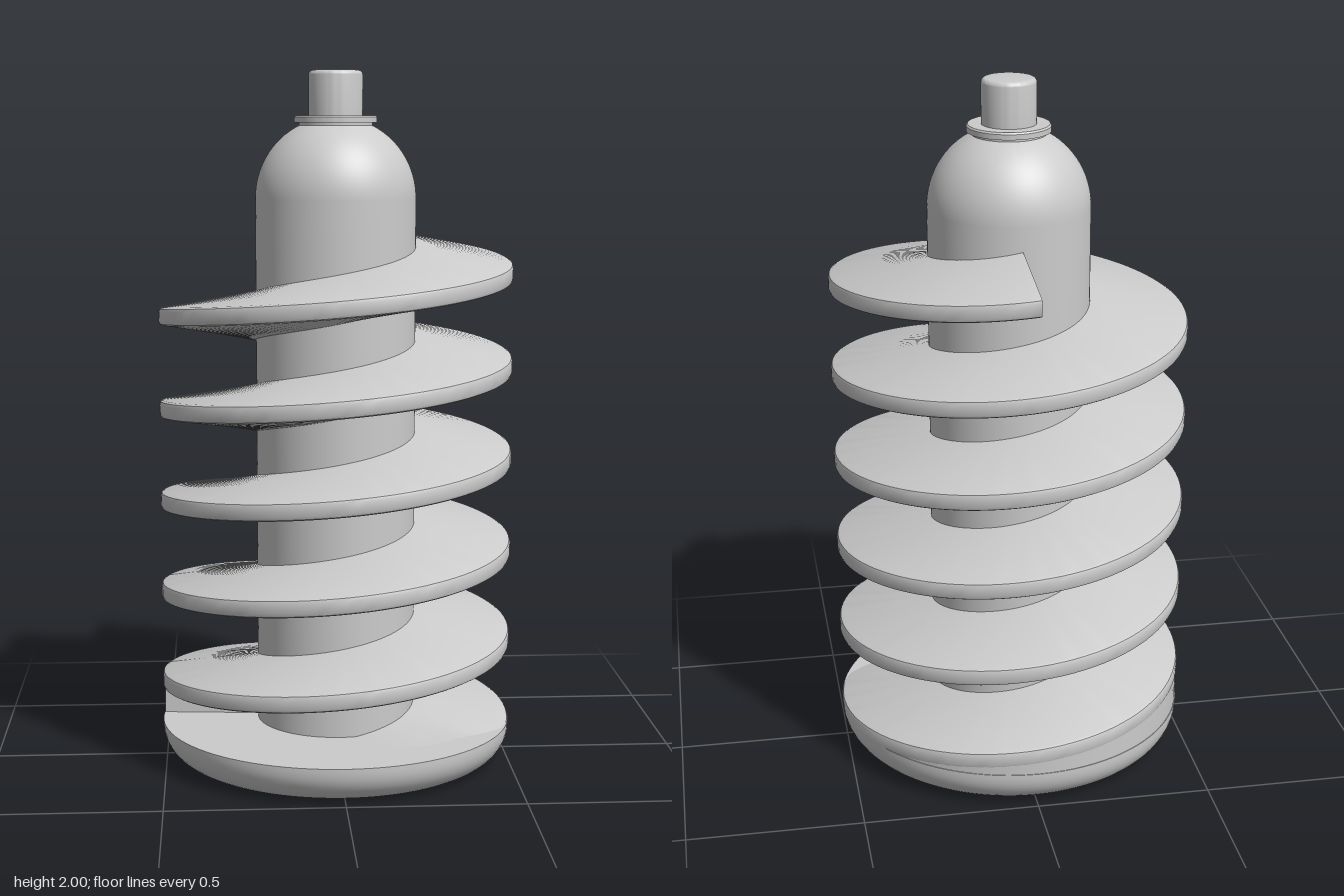
import * as THREE from 'three';
import { toCreasedNormals } from 'three/addons/utils/BufferGeometryUtils.js';

const PITCH = 0.267;
const centreY = a => 0.034 + PITCH * a / (2 * Math.PI);

// Sweep a counter-clockwise (radius, height) profile around the y axis, with end caps.
function sweep(profileAt, a0, a1, steps) {
  const pos = [], idx = [];
  const n = profileAt(a0).length;
  for (let i = 0; i <= steps; i++) {
    const a = a0 + (a1 - a0) * i / steps;
    for (const [r, y] of profileAt(a)) pos.push(r * Math.sin(a), y, r * Math.cos(a));
  }
  for (let i = 0; i < steps; i++) {
    for (let j = 0; j < n; j++) {
      const k = (j + 1) % n;
      const a = i * n + j, b = a + n, c = (i + 1) * n + k, d = i * n + k;
      idx.push(a, b, c, a, c, d);
    }
  }
  const last = steps * n;
  for (let j = 1; j < n - 1; j++) {
    idx.push(0, j, j + 1);
    idx.push(last, last + j + 1, last + j);
  }
  const g = new THREE.BufferGeometry();
  g.setAttribute('position', new THREE.Float32BufferAttribute(pos, 3));
  g.setIndex(idx);
  return toCreasedNormals(g, 0.6);
}

function lathe(points, segments = 96) {
  const g = new THREE.LatheGeometry(points.map(p => new THREE.Vector2(p[0], p[1])), segments);
  return toCreasedNormals(g, 0.6);
}

// Points on an elliptical arc, for lathe profiles
function arc(cx, cy, r, from, to, n) {
  return Array.from({ length: n + 1 }, (_, i) => {
    const t = from + (to - from) * i / n;
    return [cx + r * Math.cos(t), cy + r * Math.sin(t)];
  });
}

export function createModel() {
  const group = new THREE.Group();
  const material = new THREE.MeshStandardMaterial({ color: 0xcccccc });
  const add = (name, geometry) => {
    const mesh = new THREE.Mesh(geometry, material);
    mesh.name = name;
    group.add(mesh);
    return mesh;
  };

  // Base disc with a rounded lower edge and a round recess underneath
  add('base', lathe([
    [0.235, 0.1], [0.235, 0],
    ...arc(0.41, 0.1, 0.1, -Math.PI / 2, 0, 10),
    [0.51, 0.112], [0.2, 0.112],
  ]));

  // Recess ceiling with four blind holes
  const plate = new THREE.Shape().absarc(0, 0, 0.237, 0, Math.PI * 2);
  for (let i = 0; i < 4; i++) {
    const t = i * Math.PI / 2;
    plate.holes.push(new THREE.Path().absarc(0.158 * Math.cos(t), 0.158 * Math.sin(t), 0.024, 0, Math.PI * 2, true));
  }
  const plateGeo = new THREE.ExtrudeGeometry(plate, { depth: 0.012, bevelEnabled: false, curveSegments: 32 });
  plateGeo.rotateX(-Math.PI / 2);
  add('recessCeiling', plateGeo).position.y = 0.098;
  const pocketGeo = new THREE.CylinderGeometry(0.024, 0.024, 0.12, 20, 1, true);
  const pocketMaterial = new THREE.MeshStandardMaterial({ color: 0xcccccc, side: THREE.DoubleSide });
  for (let i = 0; i < 4; i++) {
    const t = i * Math.PI / 2;
    const pocket = add('blindHole', pocketGeo);
    pocket.material = pocketMaterial;
    pocket.position.set(0.158 * Math.cos(t), 0.17, 0.158 * Math.sin(t));
  }
  const pocketEnd = new THREE.CircleGeometry(0.22, 48);
  pocketEnd.rotateX(Math.PI / 2);
  add('holeEnds', pocketEnd).position.y = 0.23;

  // Central shaft with a domed top
  add('shaft', lathe([
    [0.23, 0.1], [0.23, 1.64],
    ...arc(0, 1.64, 0.23, 0.06, Math.PI / 2, 20),
  ]));

  // Collar and drive pin
  add('collar', lathe([
    [0, 1.845], [0.105, 1.845], [0.105, 1.853], [0.118, 1.853],
    [0.118, 1.868], [0.114, 1.873], [0, 1.873],
  ]));
  add('drivePin', lathe([
    [0.077, 1.86], ...arc(0.064, 1.987, 0.013, 0, Math.PI / 2, 5), [0, 2],
  ], 64));

  // Helical flight: thick at the shaft, thin with softened corners at the rim
  const section = [
    [0.22, -0.07], [0.5, -0.026], [0.507, -0.022], [0.51, -0.014],
    [0.51, 0.014], [0.507, 0.022], [0.5, 0.026], [0.22, 0.07],
  ];
  add('flight', sweep(
    a => section.map(([r, y]) => [r, Math.max(0.1, centreY(a) + y)]),
    0, 11 * Math.PI, 528));

  // Solid ramp joining the first part of the flight to the base
  add('flightRamp', sweep(a => {
    const top = Math.max(0.1, centreY(a));
    return [[0.22, 0.09], [0.508, 0.09], [0.508, top], [0.22, top]];
  }, Math.PI / 2, Math.PI * 1.47, 48));

  return group;
}
